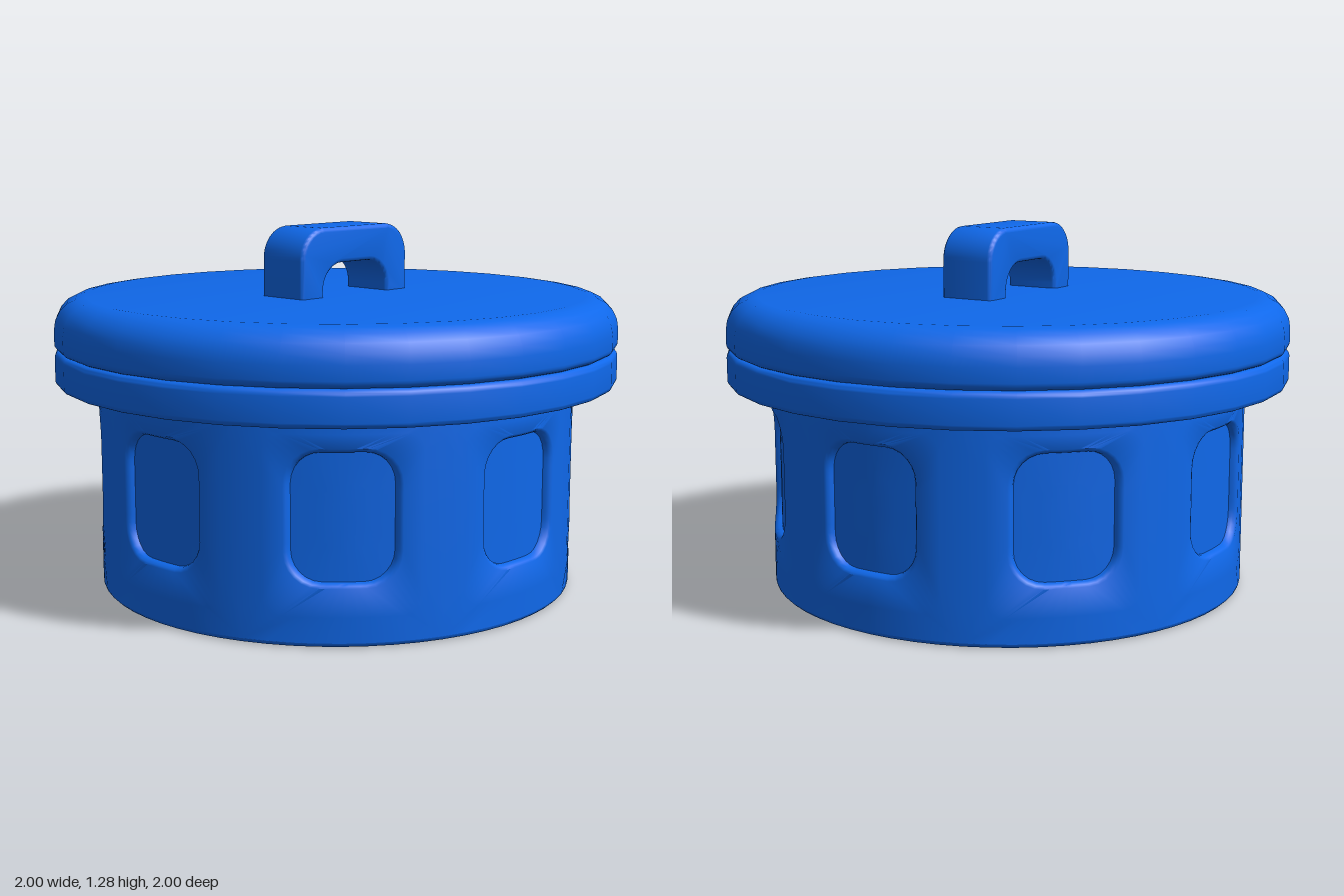
import * as THREE from 'three';
import { toCreasedNormals } from 'three/addons/utils/BufferGeometryUtils.js';

const material = new THREE.MeshStandardMaterial({ color: 0x0f68ea });

function addMesh(group, name, geometry, crease = 0.7) {
  const mesh = new THREE.Mesh(toCreasedNormals(geometry, crease), material);
  mesh.name = name;
  group.add(mesh);
  return mesh;
}

// Closed disc profile with rounded lower and upper edges
function discGeometry(radius, y0, y1, rLow, rHigh, segments) {
  const pts = [new THREE.Vector2(0, y0)];
  const arc = (cy, r, from) => {
    for (let i = 0; i <= 5; i++) {
      const a = from + (i / 5) * Math.PI / 2;
      pts.push(new THREE.Vector2(radius - r + r * Math.cos(a), cy + r * Math.sin(a)));
    }
  };
  arc(y0 + rLow, rLow, -Math.PI / 2);
  arc(y1 - rHigh, rHigh, 0);
  pts.push(new THREE.Vector2(0, y1));
  return new THREE.LatheGeometry(pts, segments);
}

// Counter-clockwise rounded rectangle: always the same number of points
function roundedLoop(hw, y0, y1, r) {
  const corners = [[hw - r, y0 + r], [hw - r, y1 - r], [r - hw, y1 - r], [r - hw, y0 + r]];
  const loop = [];
  corners.forEach(([cx, cy], c) => {
    for (let i = 0; i <= 6; i++) {
      const a = (c - 1 + i / 6) * Math.PI / 2;
      loop.push([cx + r * Math.cos(a), cy + r * Math.sin(a)]);
    }
    const [nx, ny] = corners[(c + 1) % 4];
    const a = c * Math.PI / 2;
    const [sx, sy] = loop[loop.length - 1];
    const ex = nx + r * Math.cos(a), ey = ny + r * Math.sin(a);
    for (let i = 1; i < 8; i++) loop.push([sx + (ex - sx) * i / 8, sy + (ey - sy) * i / 8]);
  });
  return loop;
}

// Cylindrical wall made of eight sectors, each with a recessed window panel
function wallGeometry() {
  const R = 0.85;
  const rings = [ // half width, bottom, top, corner radius, distance from axis
    [R * Math.PI / 8, 0.015, 0.75, 0, R],
    [0.26, 0.1, 0.69, 0.06, R],
    [0.192, 0.195, 0.645, 0.115, R],
    [0.182, 0.202, 0.638, 0.11, 0.845],
    [0.175, 0.208, 0.632, 0.105, 0.835],
    [0.172, 0.21, 0.63, 0.102, 0.822],
    [0.086, 0.315, 0.525, 0.051, 0.822],
    [0, 0.42, 0.42, 0, 0.822],
  ];
  const position = [], index = [];
  for (let s = 0; s < 8; s++) {
    const first = position.length / 3;
    let n = 0;
    for (const [hw, y0, y1, r, dist] of rings) {
      const loop = roundedLoop(hw, y0, y1, r);
      n = loop.length;
      for (const [u, y] of loop) {
        const a = s * Math.PI / 4 + u / R;
        position.push(dist * Math.sin(a), y, dist * Math.cos(a));
      }
    }
    for (let k = 0; k < rings.length - 1; k++) {
      for (let j = 0; j < n; j++) {
        const a = first + k * n + j, b = first + k * n + (j + 1) % n;
        index.push(a, b, b + n, a, b + n, a + n);
      }
    }
  }
  const geometry = new THREE.BufferGeometry();
  geometry.setAttribute('position', new THREE.Float32BufferAttribute(position, 3));
  geometry.setIndex(index);
  return geometry;
}

// Arched grip with softened edges
function handleGeometry() {
  const b = 0.015, base = 1.015;
  const shape = new THREE.Shape();
  shape.moveTo(0.27, base);
  shape.lineTo(0.27, 1.17);
  shape.absarc(0.16, 1.17, 0.11, 0, Math.PI / 2);
  shape.absarc(-0.16, 1.17, 0.11, Math.PI / 2, Math.PI);
  shape.lineTo(-0.27, base);
  shape.lineTo(-0.162, base);
  shape.lineTo(-0.162, 1.06);
  shape.absarc(-0.067, 1.06, 0.095, Math.PI, Math.PI / 2, true);
  shape.absarc(0.067, 1.06, 0.095, Math.PI / 2, 0, true);
  shape.lineTo(0.162, base);
  const geometry = new THREE.ExtrudeGeometry(shape, {
    depth: 0.2 - 2 * b, bevelThickness: b, bevelSize: b, bevelOffset: -b,
    bevelSegments: 3, curveSegments: 8,
  });
  return geometry.translate(0, 0, b - 0.1);
}

export function createModel() {
  const group = new THREE.Group();
  group.name = 'pot';

  // Body
  addMesh(group, 'wall', wallGeometry());
  const bottom = [[0, 0], [0.835, 0], [0.842, 0.002], [0.848, 0.008], [0.85, 0.016]];
  addMesh(group, 'base', new THREE.LatheGeometry(bottom.map(p => new THREE.Vector2(...p)), 64));
  addMesh(group, 'rim', discGeometry(1, 0.735, 0.857, 0.018, 0.022, 32));

  // Lid
  addMesh(group, 'lid', discGeometry(1, 0.857, 1.04, 0.025, 0.11, 32));
  addMesh(group, 'handle', handleGeometry());

  return group;
}
